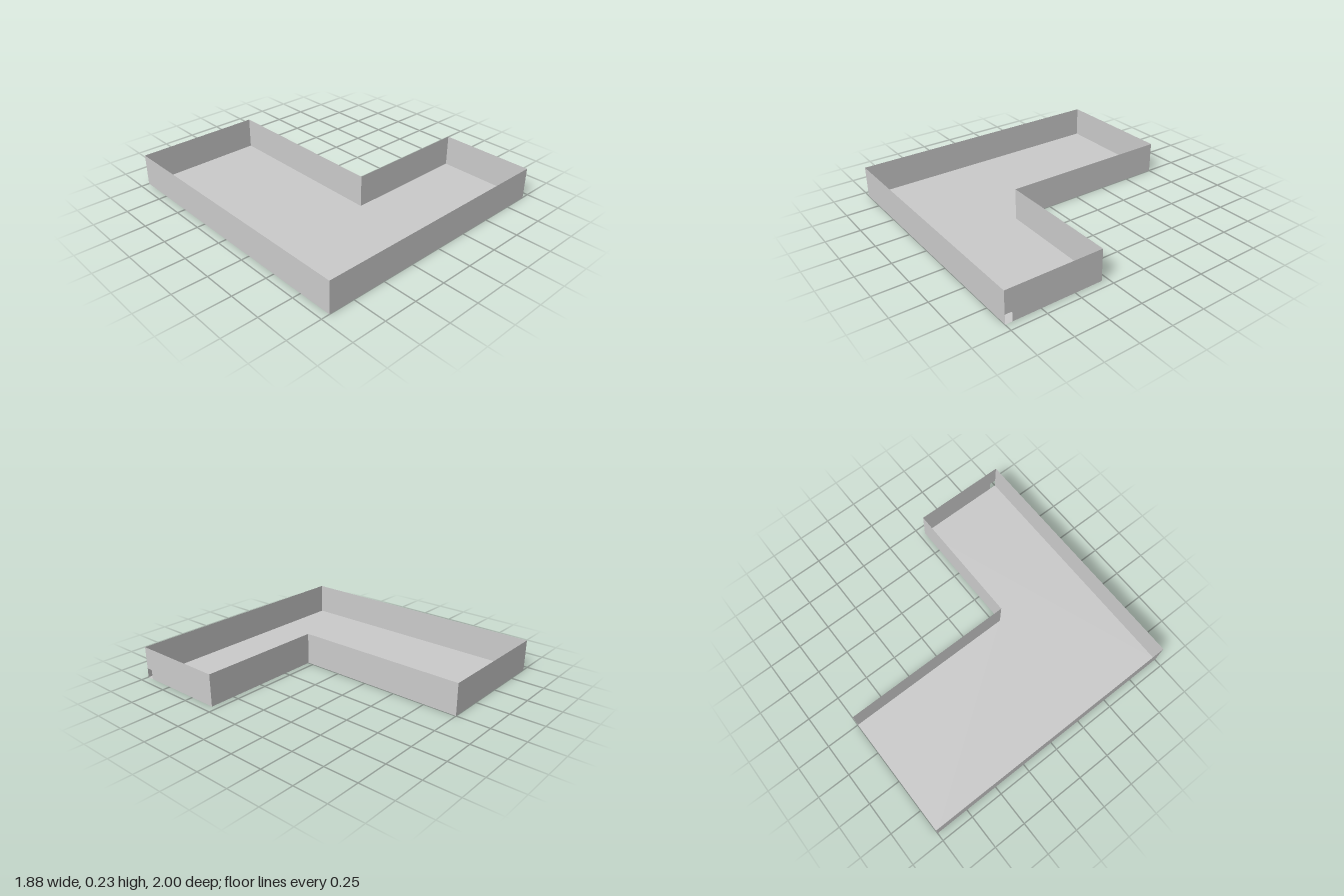
import * as THREE from 'three';

const HEIGHT = 0.235;
const material = new THREE.MeshStandardMaterial({
  color: 0xcccccc, flatShading: true, side: THREE.DoubleSide,
});

// L-shaped plan, as [x, z] corners; the first wall is the short end with the notch
const plan = [
  [0.94, 1], [0.94, 0.295], [0, 0.295], [0, -1], [-0.94, -1], [-0.94, 1],
];

// Thin upright wall between two corners of the plan, with an optional notch at its start
function makeWall(name, [x0, z0], [x1, z1], notch) {
  const length = Math.hypot(x1 - x0, z1 - z0);
  const shape = new THREE.Shape();
  if (notch) {
    const { width, height, radius } = notch;
    shape.moveTo(0, HEIGHT);
    shape.lineTo(0, height);
    shape.lineTo(width - radius, height);
    shape.quadraticCurveTo(width, height, width, height - radius);
    shape.lineTo(width, 0);
  } else {
    shape.moveTo(0, HEIGHT);
    shape.lineTo(0, 0);
  }
  shape.lineTo(length, 0);
  shape.lineTo(length, HEIGHT);
  shape.closePath();

  const wall = new THREE.Mesh(new THREE.ShapeGeometry(shape, 4), material);
  wall.name = name;
  wall.position.set(x0, 0, z0);
  wall.rotation.y = Math.atan2(z0 - z1, x1 - x0);
  return wall;
}

export function createModel() {
  const model = new THREE.Group();
  model.name = 'openTray';

  // Floor
  const outline = new THREE.Shape(plan.map(([x, z]) => new THREE.Vector2(x, -z)));
  const floor = new THREE.Mesh(new THREE.ShapeGeometry(outline).rotateX(-Math.PI / 2), material);
  floor.name = 'floor';
  model.add(floor);

  // Walls around the plan, with a small drain notch in the short end
  const names = ['leftEndWall', 'innerBackWall', 'innerSideWall', 'backWall', 'rightWall', 'frontWall'];
  names.forEach((name, i) => {
    const notch = i === 0 ? { width: 0.05, height: 0.07, radius: 0.008 } : null;
    model.add(makeWall(name, plan[i], plan[(i + 1) % plan.length], notch));
  });
  return model;
}
